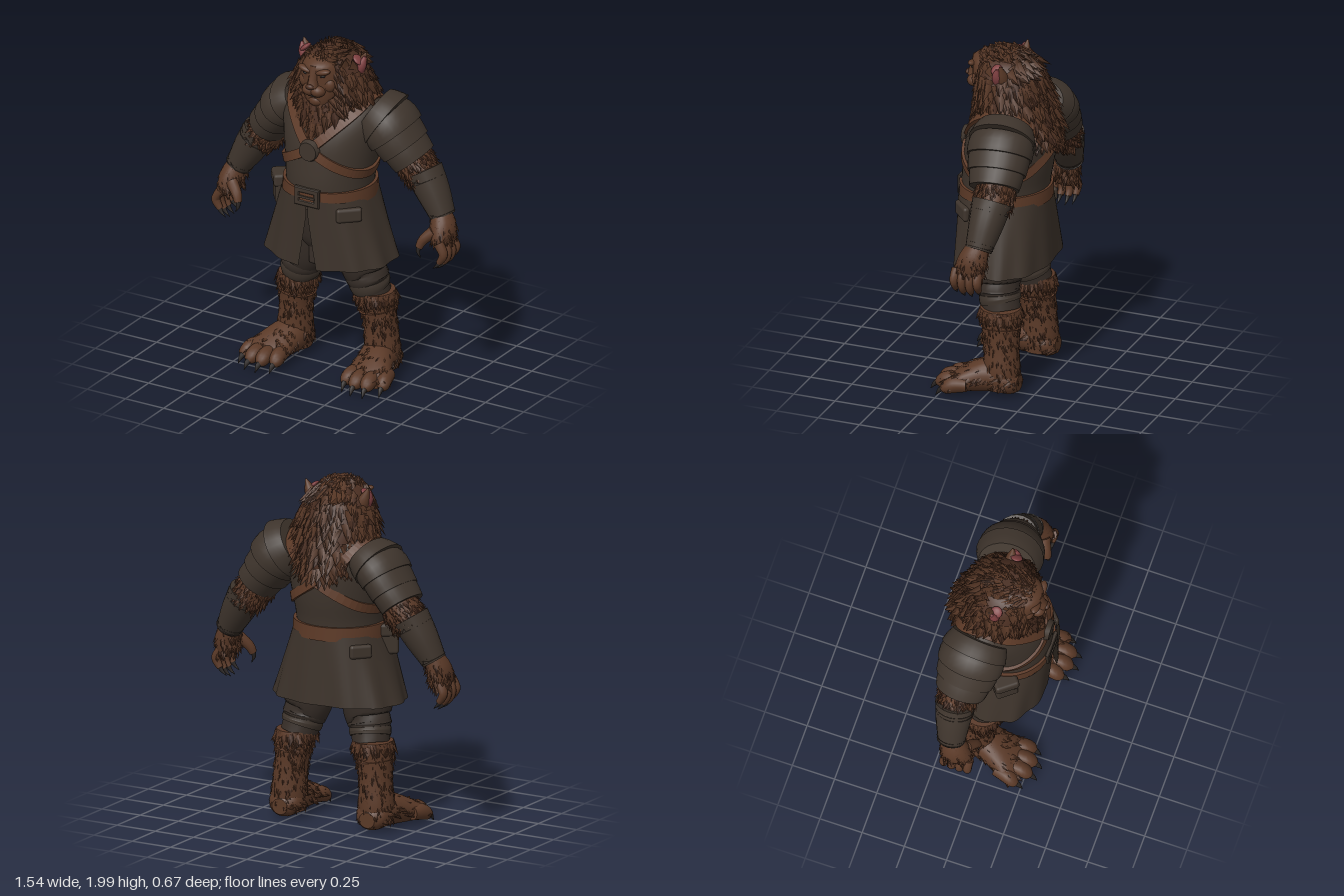
import * as THREE from 'three';
import { mergeGeometries } from 'three/addons/utils/BufferGeometryUtils.js';
import { RoundedBoxGeometry } from 'three/addons/geometries/RoundedBoxGeometry.js';
import { ParametricGeometry } from 'three/addons/geometries/ParametricGeometry.js';

const V = (x, y, z) => new THREE.Vector3(x, y, z);
const Y = V(0, 1, 0), Z = V(0, 0, 1);
const mat = (name, color) => Object.assign(new THREE.MeshStandardMaterial({ color }), { name });

// small seeded random
let seed = 7;
const rnd = () => (seed = (seed * 16807) % 2147483647) / 2147483647;

// skin a list of point rings; flat gives hard edges, loop joins last ring to first
function skin(rings, { flat = false, loop = false } = {}) {
  const n = rings[0].length, pts = rings.flat(), idx = [];
  const last = loop ? rings.length : rings.length - 1;
  for (let i = 0; i < last; i++) for (let j = 0; j < n; j++) {
    const k = (j + 1) % n, i2 = (i + 1) % rings.length;
    const a = i * n + j, b = i * n + k, c = i2 * n + k, d = i2 * n + j;
    idx.push(a, b, c, a, c, d);
  }
  if (!loop) for (const [r, end] of [[0, false], [rings.length - 1, true]]) {
    const base = pts.length;
    pts.push(...rings[r], rings[r].reduce((s, p) => s.add(p), V(0, 0, 0)).divideScalar(n));
    for (let j = 0; j < n; j++) {
      const k = (j + 1) % n;
      idx.push(base + n, base + (end ? j : k), base + (end ? k : j));
    }
  }
  let g = new THREE.BufferGeometry().setFromPoints(pts);
  g.setIndex(idx);
  if (flat) g = g.toNonIndexed();
  g.computeVertexNormals();
  return g;
}

// body of elliptical sections; rows are [x, y, z, radius across, radius deep]
function body(rows, tan = null, ref = Z) {
  const mid = new THREE.CatmullRomCurve3(rows.map(r => V(r[0], r[1], r[2])), false, 'catmullrom');
  const rad = new THREE.CatmullRomCurve3(rows.map(r => V(r[3], r[4] ?? r[3], 0)), false, 'catmullrom');
  const at = t => {
    const c = mid.getPoint(t), r = rad.getPoint(t), d = tan || mid.getTangent(t);
    const u = ref.clone().cross(d).normalize();
    return { c, r, u, v: d.clone().cross(u) };
  };
  const point = (t, a) => {
    const { c, r, u, v } = at(t);
    const n = u.clone().multiplyScalar(Math.cos(a) * r.y).addScaledVector(v, Math.sin(a) * r.x).normalize();
    const p = c.addScaledVector(u, Math.cos(a) * r.x).addScaledVector(v, Math.sin(a) * r.y);
    return { p, n };
  };
  return { at, point, count: rows.length };
}
function loft(b, sides = 24, steps = (b.count - 1) * 3) {
  return skin(Array.from({ length: steps + 1 }, (_, i) =>
    Array.from({ length: sides }, (_, j) => b.point(i / steps, j / sides * Math.PI * 2).p)));
}

export function createModel() {
  const model = new THREE.Group();
  const fur = mat('brown fur', 0x5a3927), darkFur = mat('dark fur', 0x4a2e21);
  const leather = mat('dark leather', 0x3e342c), trousers = mat('trouser cloth', 0x362d27);
  const strap = mat('brown strap', 0x5d3a27), claw = mat('claw', 0x2a2523), pink = mat('ear pink', 0x7e3f40);
  const cloth = mat('coat cloth', 0x3c322a);
  cloth.side = THREE.DoubleSide;

  const add = (name, g, m) => {
    const mesh = new THREE.Mesh(g, m);
    mesh.name = name;
    model.add(mesh);
    return mesh;
  };
  const ball = (name, m, p, s, rz = 0) => {
    const b = add(name, new THREE.SphereGeometry(1, 16, 12), m);
    b.position.set(...p); b.scale.set(...s); b.rotation.z = rz;
  };

  // scatter pointed tufts over a body
  const cone = new THREE.ConeGeometry(1, 1, 4, 1, true).translate(0, 0.5, 0);
  function tufts(name, b, count, len, wide, dir, keep = () => true, t0 = 0, t1 = 1) {
    const sets = [[], []];
    for (let i = 0; i < count; i++) {
      const { p, n } = b.point(t0 + (t1 - t0) * rnd(), rnd() * Math.PI * 2);
      const size = 0.7 + 0.6 * rnd(), pick = rnd() < 0.2 ? 1 : 0;
      if (!keep(p, n)) continue;
      const d = dir(n, p).add(V(rnd() - 0.5, rnd() - 0.5, rnd() - 0.5).multiplyScalar(0.3)).normalize();
      const x = d.clone().cross(n).normalize(), z = x.clone().cross(d);
      const m = new THREE.Matrix4().makeBasis(x.multiplyScalar(wide * size), d.multiplyScalar(len * size), z.multiplyScalar(wide * 0.4));
      sets[pick].push(cone.clone().applyMatrix4(m.setPosition(p.addScaledVector(n, -0.006))));
    }
    sets.forEach((s, i) => s.length && add(name, mergeGeometries(s), i ? darkFur : fur));
  }
  const hang = (n, out = 0.4) => n.clone().multiplyScalar(out).add(V(0, -1, 0));

  // torso
  const torso = body([[0, 1.06, 0.02, 0.25, 0.245], [0, 1.2, 0.02, 0.252, 0.25], [0, 1.32, 0.005, 0.268, 0.255],
    [0, 1.45, -0.01, 0.29, 0.25], [0, 1.57, -0.03, 0.31, 0.22], [0, 1.67, -0.05, 0.27, 0.175], [0, 1.73, -0.06, 0.14, 0.11]], Y);
  add('vest', loft(torso, 36), leather);
  const onTorso = (x, y, side) => {
    let best = null;
    for (let i = 0; i <= 150; i++) {
      const s = torso.at(i / 150);
      if (!best || Math.abs(s.c.y - y) < Math.abs(best.c.y - y)) best = s;
    }
    return V(x, y, best.c.z + side * best.r.y * Math.sqrt(Math.max(0, 1 - (x / best.r.x) ** 2)));
  };

  // crossed straps around chest and back
  for (const s of [1, -1]) {
    const path = [[-0.215, 1.65, 1], [-0.115, 1.54, 1], [0, 1.43, 1], [0.13, 1.35, 1], [0.23, 1.29, 1], [0.262, 1.275, 0],
      [0.2, 1.32, -1], [0, 1.45, -1], [-0.12, 1.54, -1], [-0.21, 1.64, -1], [-0.235, 1.7, 0]];
    const curve = new THREE.CatmullRomCurve3(path.map(([x, y, d]) => onTorso(x * s, y, d)), true);
    const rings = [];
    for (let i = 0; i < 70; i++) {
      const p = curve.getPoint(i / 70), t = curve.getTangent(i / 70);
      const n = p.clone().sub(V(0, 1.35, -0.02));
      n.addScaledVector(t, -n.dot(t)).normalize();
      const w = n.clone().cross(t);
      rings.push([[1, -2.5], [1, 1], [-1, 1], [-1, -2.5]].map(([a, b]) =>
        p.clone().addScaledVector(w, a * 0.027).addScaledVector(n, b * 0.014)));
    }
    add('chestStrap', skin(rings, { flat: true, loop: true }), strap);
  }
  const disc = add('chestDisc', new THREE.CylinderGeometry(0.055, 0.066, 0.03, 24).rotateX(Math.PI / 2), leather);
  disc.position.set(0, 1.42, 0.26);

  // belt, buckle and pouches
  add('belt', loft(body([[0, 1.105, 0.02, 0.272, 0.264], [0, 1.185, 0.02, 0.27, 0.263]], Y), 36, 1), strap);
  const frame = new THREE.Shape([[-0.075, -0.05], [0.075, -0.05], [0.075, 0.05], [-0.075, 0.05]].map(p => new THREE.Vector2(...p)));
  frame.holes.push(new THREE.Path([[-0.052, -0.028], [-0.052, 0.028], [0.052, 0.028], [0.052, -0.028]].map(p => new THREE.Vector2(...p))));
  add('buckle', new THREE.ExtrudeGeometry(frame, { depth: 0.016, bevelSize: 0.005, bevelThickness: 0.005, bevelSegments: 1 }), leather).position.set(0, 1.145, 0.266);
  add('bucklePin', new THREE.BoxGeometry(0.11, 0.014, 0.01), leather).position.set(0, 1.145, 0.286);
  const box = (name, m, s, p, ry = 0) => {
    const b = add(name, new RoundedBoxGeometry(...s, 2, 0.018), m);
    b.position.set(...p); b.rotation.y = ry;
  };
  box('pouch', leather, [0.13, 0.15, 0.11], [-0.265, 1.075, 0.09], -0.9);
  box('pouchFlap', leather, [0.14, 0.075, 0.125], [-0.267, 1.14, 0.09], -0.9);
  box('pocketFlap', leather, [0.15, 0.085, 0.04], [0.225, 1.055, 0.195], 0.75);
  box('sideFlap', leather, [0.13, 0.08, 0.04], [-0.23, 1.05, -0.15], -2.3);

  // coat skirt open at the front
  const bend = v => Math.sign(v) * Math.abs(v) ** 0.85;
  add('coatSkirt', new ParametricGeometry((u, v, out) => {
    const gap = 0.01 + 0.14 * Math.max(0, v - 0.25), a = gap + u * (Math.PI * 2 - 2 * gap);
    const edge = Math.exp(-12 * Math.min(u, 1 - u)), fold = 1 + 0.022 * v * Math.sin(11 * a);
    out.set((0.262 + 0.128 * v) * bend(Math.sin(a)) * fold, 1.13 - (0.395 + 0.025 * edge) * v,
      0.024 - 0.014 * v + (0.256 + 0.014 * v) * bend(Math.cos(a)) * fold);
  }, 72, 8), cloth);
  add('hips', loft(body([[0, 0.76, -0.02, 0.22, 0.14], [0, 0.84, -0.02, 0.26, 0.18], [0, 1.08, 0, 0.24, 0.21]], Y)), trousers);

  // head: mane mass, face and beard
  const mane = body([[0, 1.5, -0.17, 0.1, 0.115], [0, 1.57, -0.12, 0.18, 0.165], [0, 1.65, -0.06, 0.215, 0.195], [0, 1.75, -0.025, 0.235, 0.2],
    [0, 1.85, 0, 0.2, 0.185], [0, 1.93, 0.015, 0.145, 0.155], [0, 1.97, 0.03, 0.07, 0.09]], Y);
  add('mane', loft(mane), darkFur);
  const byEar = p => Math.abs(p.x) > 0.1 && Math.abs(p.z - 0.01) < 0.06 && p.y > 1.87;
  tufts('maneTufts', mane, 820, 0.085, 0.036, (n, p) => p.y > 1.9 ? n.clone().multiplyScalar(0.25).add(V(0, -0.4, -0.6))
    : hang(n, 0.6).add(V(0, 0, -0.2)), p => !(p.z > 0.07 && Math.abs(p.x) < 0.11) && !byEar(p));
  const crown = body([[0, 1.92, 0.04, 0.12, 0.155], [0, 1.96, 0.035, 0.09, 0.12], [0, 1.972, 0.02, 0.03, 0.04]], Y);
  tufts('crownTufts', crown, 190, 0.06, 0.026, n => n.clone().multiplyScalar(0.45).add(V(0, 0, -0.7)), p => !byEar(p) && p.z < 0.185);
  add('face', loft(body([[0, 1.66, 0.14, 0.06, 0.05], [0, 1.71, 0.13, 0.095, 0.075], [0, 1.78, 0.12, 0.12, 0.09],
    [0, 1.86, 0.12, 0.12, 0.095], [0, 1.925, 0.115, 0.1, 0.1], [0, 1.96, 0.08, 0.06, 0.07]], Y)), fur);
  // ruff of tufts framing the face
  const ruff = body([[0, 1.66, 0.1, 0.15, 0.1], [0, 1.75, 0.09, 0.175, 0.1], [0, 1.85, 0.085, 0.155, 0.1], [0, 1.94, 0.09, 0.115, 0.09]], Y);
  tufts('ruffTufts', ruff, 240, 0.085, 0.028, n => hang(n, 0.3).add(V(Math.sign(n.x) * 0.5, 0, -0.1)), p => Math.abs(p.x) > 0.09 && p.z > 0.06);
  add('noseBridge', loft(body([[0, 1.8, 0.215, 0.035, 0.045], [0, 1.85, 0.2, 0.028, 0.04], [0, 1.925, 0.185, 0.035, 0.035]], Y), 12), fur);
  ball('nose', darkFur, [0, 1.81, 0.25], [0.026, 0.016, 0.015]);
  ball('mouth', claw, [0, 1.742, 0.198], [0.046, 0.007, 0.025]);
  ball('chin', fur, [0, 1.705, 0.18], [0.045, 0.034, 0.035]);
  for (const s of [1, -1]) {
    ball('muzzle', fur, [s * 0.026, 1.775, 0.202], [0.045, 0.036, 0.044]);
    ball('cheek', fur, [s * 0.075, 1.81, 0.165], [0.04, 0.045, 0.032]);
    ball('brow', fur, [s * 0.055, 1.893, 0.2], [0.05, 0.018, 0.026], s * 0.25);
    ball('eye', claw, [s * 0.055, 1.867, 0.2], [0.018, 0.007, 0.01], s * 0.2);
    // ears, hollow turned up and out
    add('ear', loft(body([[s * 0.15, 1.84, -0.02, 0.04, 0.035], [s * 0.175, 1.895, -0.022, 0.035, 0.034], [s * 0.205, 1.965, -0.025, 0.004, 0.004]]), 12), fur);
    add('innerEar', loft(body([[s * 0.178, 1.85, 0.0, 0.022, 0.026], [s * 0.193, 1.895, 0.0, 0.025, 0.029], [s * 0.206, 1.945, -0.01, 0.008, 0.01]]), 12), pink);
    ball('earHollow', pink, [s * 0.172, 1.925, 0.008], [0.014, 0.036, 0.034], s * 0.85);
  }
  const beard = body([[0, 1.49, 0.2, 0.02, 0.02], [0, 1.55, 0.165, 0.07, 0.055], [0, 1.63, 0.11, 0.15, 0.095], [0, 1.72, 0.08, 0.185, 0.1]], Y);
  add('beard', loft(beard), darkFur);
  tufts('beardTufts', beard, 270, 0.08, 0.028, n => hang(n, 0.25), (p, n) => n.z > -0.3, 0.12, 1);

  for (const s of [1, -1]) {
    const side = s > 0 ? 'left' : 'right';
    const rows = list => list.map(([x, ...rest]) => [x * s, ...rest]);
    const part = (name, list, m, sides = 20, steps) => {
      const b = body(rows(list));
      add(side + name, loft(b, sides, steps), m);
      return b;
    };

    // layered shoulder plates, taller on the left
    const sizes = s > 0 ? [1.16, 1.06, 1, 0.97] : [0.9, 0.87, 0.87, 0.92];
    const sleeve = body(rows([[0.23, 1.6, -0.07, 0.125, 0.16], [0.32, 1.54, -0.08, 0.148, 0.18], [0.4, 1.44, -0.09, 0.13, 0.162], [0.475, 1.345, -0.1, 0.112, 0.13]]));
    add(side + 'Sleeve', loft(body(rows([[0.23, 1.6, -0.07, 0.1, 0.14], [0.32, 1.54, -0.08, 0.12, 0.16], [0.4, 1.44, -0.09, 0.11, 0.14], [0.475, 1.345, -0.1, 0.105, 0.125]]))), trousers);
    sizes.forEach((k, i) => {
      const ring = (t, o) => {
        const q = sleeve.at(t);
        return [q.c.x, q.c.y, q.c.z, q.r.x * k + o, q.r.y + o];
      };
      const t = i * 0.24;
      add(side + 'ShoulderPlate', loft(body([ring(t, 0.002), ring(t + 0.14, 0.01), ring(t + 0.28, 0.014)]), 28, 4), leather);
    });

    // furry elbow, bracer and hand
    const elbow = part('Elbow', [[0.42, 1.4, -0.1, 0.1, 0.11], [0.49, 1.3, -0.11, 0.107, 0.11], [0.56, 1.22, -0.11, 0.085, 0.09]], fur);
    tufts(side + 'ElbowFur', elbow, 200, 0.045, 0.018, n => n.clone().multiplyScalar(0.4).add(V(s * 0.5, -0.7, 0)), undefined, 0.2, 0.8);
    part('Bracer', [[0.53, 1.285, -0.11, 0.107, 0.115], [0.6, 1.17, -0.1, 0.096, 0.098], [0.672, 1.045, -0.085, 0.07, 0.076]], leather);
    for (const [x, y, r] of [[0.548, 1.255, 0.108], [0.655, 1.075, 0.08]])
      part('BracerBand', [[x, y, -0.106 + (x - 0.548) * 0.15, r, r + 0.004], [x + 0.012, y - 0.021, -0.104 + (x - 0.548) * 0.15, r - 0.002, r + 0.002]], trousers, 20, 1);
    const hand = part('Hand', [[0.665, 1.06, -0.08, 0.06, 0.065], [0.69, 0.99, -0.06, 0.07, 0.083], [0.7, 0.92, -0.04, 0.058, 0.085], [0.705, 0.885, -0.035, 0.03, 0.06]], fur);
    tufts(side + 'HandFur', hand, 130, 0.045, 0.016, n => hang(n, 0.4), undefined, 0, 0.75);
    for (let i = 0; i < 4; i++) {
      const z = -0.105 + i * 0.046, e = i === 0 || i === 3 ? 0.015 : 0;
      part('Finger', [[0.71, 0.93, z * 0.9, 0.03], [0.742, 0.88, z, 0.026], [0.738, 0.835 + e, z, 0.024], [0.715, 0.8 + e, z, 0.018]], fur, 10);
      part('Claw', [[0.724, 0.815 + e, z, 0.016], [0.708, 0.785 + e, z + 0.003, 0.011], [0.676, 0.757 + e, z + 0.005, 0.001]], claw, 8);
    }
    part('Thumb', [[0.66, 0.98, 0, 0.035], [0.61, 0.93, 0.03, 0.029], [0.59, 0.885, 0.045, 0.022]], fur, 10);
    part('ThumbClaw', [[0.591, 0.893, 0.043, 0.016], [0.589, 0.86, 0.05, 0.011], [0.605, 0.825, 0.05, 0.001]], claw, 8);

    // trouser leg with gathered folds and inner coat tail
    part('TrouserLeg', [[0.17, 0.95, -0.01, 0.14, 0.16], [0.187, 0.76, -0.01, 0.15, 0.14], [0.195, 0.66, -0.015, 0.138, 0.125],
      [0.208, 0.635, -0.02, 0.122, 0.113], [0.212, 0.605, -0.022, 0.128, 0.12], [0.22, 0.575, -0.03, 0.11, 0.108], [0.235, 0.5, -0.045, 0.105, 0.11]], trousers);
    part('KneeWrap', [[0.218, 0.59, -0.028, 0.116, 0.116], [0.222, 0.565, -0.032, 0.12, 0.12], [0.227, 0.54, -0.04, 0.114, 0.116]], leather);
    box('coatTail', trousers, [0.075, 0.34, 0.04], [s * 0.062, 0.82, 0.085]);

    // furry lower leg
    const leg = body(rows([[0.285, 0.05, -0.07, 0.095, 0.1], [0.285, 0.16, -0.068, 0.102, 0.105], [0.278, 0.28, -0.064, 0.094, 0.1],
      [0.268, 0.38, -0.058, 0.1, 0.105], [0.255, 0.48, -0.05, 0.118, 0.12], [0.25, 0.52, -0.047, 0.113, 0.116]]), Y);
    add(side + 'LowerLeg', loft(leg), fur);
    tufts(side + 'LegFur', leg, 380, 0.04, 0.017, n => hang(n, 0.3), undefined, 0.05, 0.85);
    tufts(side + 'LegCuff', leg, 130, 0.055, 0.024, n => hang(n, 0.4), undefined, 0.84, 1);
    part('LegBand', [[0.262, 0.43, -0.055, 0.115, 0.118], [0.266, 0.405, -0.056, 0.113, 0.116]], strap, 24, 1);

    // foot, toes and claws
    const foot = body(rows([[0.285, 0.085, -0.175, 0.05, 0.045], [0.285, 0.1, -0.13, 0.095, 0.08], [0.29, 0.12, -0.02, 0.105, 0.1],
      [0.315, 0.105, 0.08, 0.118, 0.086], [0.335, 0.084, 0.16, 0.135, 0.062], [0.34, 0.068, 0.21, 0.11, 0.04]]), Z, Y);
    add(side + 'Foot', loft(foot), fur);
    tufts(side + 'FootFur', foot, 230, 0.045, 0.017, n => n.clone().multiplyScalar(0.4).add(V(0, -0.5, 0.5)), (p, n) => n.y > -0.3);
    for (const [x0, x1, z] of [[0.245, 0.232, 0.235], [0.305, 0.305, 0.265], [0.37, 0.378, 0.26], [0.42, 0.45, 0.2]]) {
      const toe = body(rows([[x0, 0.085, z - 0.11, 0.04], [(x0 + x1) / 2, 0.082, z - 0.04, 0.045, 0.048], [x1, 0.062, z + 0.005, 0.037, 0.036], [x1, 0.05, z + 0.028, 0.015]]), null, Y);
      add(side + 'Toe', loft(toe, 12), fur);
      const nail = body(rows([[x1, 0.066, z, 0.019], [x1 * 1.01, 0.048, z + 0.035, 0.015], [x1 * 1.02, 0.012, z + 0.062, 0.001]]), null, Y);
      add(side + 'ToeClaw', loft(nail, 8), claw);
    }
  }
  return model;
}
